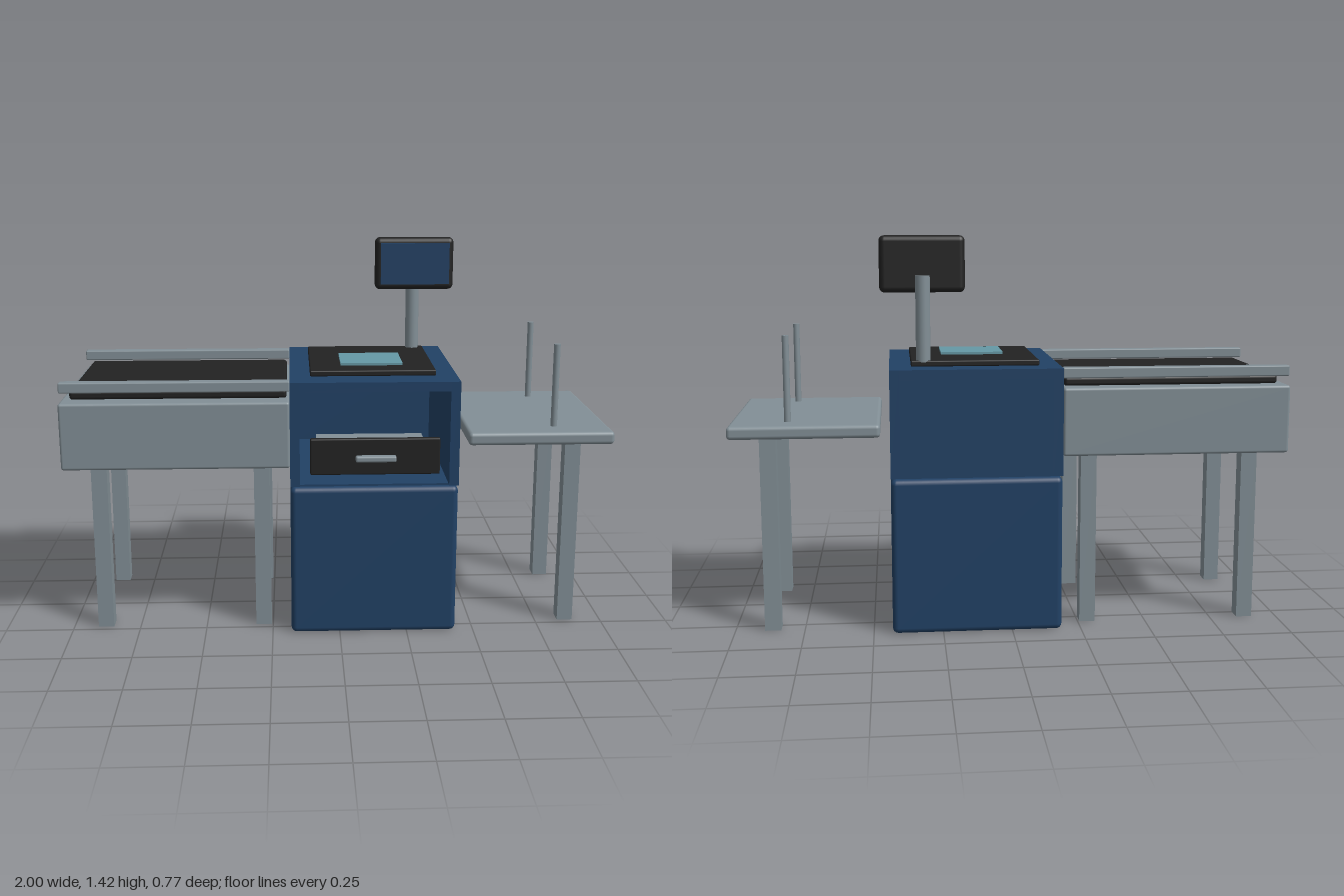
import * as THREE from 'three';
import { RoundedBoxGeometry } from 'three/addons/geometries/RoundedBoxGeometry.js';

const mat = (name, color) => {
  const m = new THREE.MeshStandardMaterial({ color });
  m.name = name;
  return m;
};

export function createModel() {
  const steel = mat('steel grey', 0x828f96);
  const navy = mat('navy blue', 0x214165);
  const black = mat('black', 0x222222);
  const glass = mat('glass teal', 0x6599a6);

  const model = new THREE.Group();
  model.name = 'checkoutCounter';
  const group = (name) => {
    const g = new THREE.Group();
    g.name = name;
    model.add(g);
    return g;
  };

  // Box given by its lower and upper limits; r rounds its edges
  const box = (parent, name, material, [x0, x1], [y0, y1], [z0, z1], r = 0) => {
    const w = x1 - x0, h = y1 - y0, d = z1 - z0;
    const geo = r ? new RoundedBoxGeometry(w, h, d, 3, r) : new THREE.BoxGeometry(w, h, d);
    const mesh = new THREE.Mesh(geo, material);
    mesh.name = name;
    mesh.position.set((x0 + x1) / 2, (y0 + y1) / 2, (z0 + z1) / 2);
    parent.add(mesh);
  };
  // Upright round rod
  const rod = (parent, name, x, z, y0, y1, r) => {
    const mesh = new THREE.Mesh(new THREE.CylinderGeometry(r, r, y1 - y0, 20), steel);
    mesh.name = name;
    mesh.position.set(x, (y0 + y1) / 2, z);
    parent.add(mesh);
  };
  // Front and back leg pair
  const legs = (parent, x, top) => {
    for (const z of [0.196, -0.276])
      box(parent, 'leg', steel, [x - 0.029, x + 0.029], [0, top], [z - 0.029, z + 0.029]);
  };
  const depth = [-0.388, 0.312];

  // Conveyor with belt, side rails and four legs
  const conveyor = group('conveyor');
  box(conveyor, 'conveyorBody', steel, [-1, -0.18], [0.64, 0.885], depth, 0.01);
  box(conveyor, 'belt', black, [-0.97, -0.19], [0.883, 0.917], [-0.325, 0.242], 0.012);
  for (const z of [0.265, -0.35])
    box(conveyor, 'sideRail', steel, [-1, -0.18], [0.917, 0.955], [z - 0.02, z + 0.02], 0.005);
  legs(conveyor, -0.88, 0.645);
  legs(conveyor, -0.285, 0.645);

  // Lower cabinet
  const cabinet = group('cabinet');
  box(cabinet, 'lowerCabinet', navy, [-0.18, 0.432], [0, 0.565], depth, 0.02);

  // Upper housing, open at the front
  box(cabinet, 'rightWall', navy, [-0.18, -0.145], [0.57, 0.955], depth);
  box(cabinet, 'leftWall', navy, [0.397, 0.432], [0.57, 0.955], depth);
  box(cabinet, 'backWall', navy, [-0.145, 0.397], [0.57, 0.92], [-0.388, -0.353]);
  box(cabinet, 'housingTop', navy, [-0.145, 0.397], [0.92, 0.955], depth);
  box(cabinet, 'housingFloor', navy, [-0.145, 0.397], [0.56, 0.572], [-0.353, 0.29]);

  // Cash drawer, partly pulled out
  const drawer = group('drawer');
  box(drawer, 'drawerTray', steel, [-0.08, 0.33], [0.63, 0.678], [-0.03, 0.322]);
  box(drawer, 'drawerFront', black, [-0.108, 0.358], [0.623, 0.756], [0.32, 0.343], 0.005);
  box(drawer, 'drawerHandle', steel, [0.053, 0.198], [0.68, 0.702], [0.358, 0.387], 0.007);

  // Scanner plate and glass
  const scanner = group('scanner');
  box(scanner, 'scannerPlate', black, [-0.105, 0.355], [0.955, 0.976], [-0.289, 0.204], 0.005);
  box(scanner, 'scannerGlass', glass, [0.01, 0.24], [0.976, 0.985], [-0.093, 0.11]);

  // Customer display on a pole
  const display = group('display');
  rod(display, 'displayPole', 0.31, -0.265, 0.97, 1.275, 0.026);
  box(display, 'displayCase', black, [0.158, 0.463], [1.215, 1.416], [-0.252, -0.194], 0.02);
  box(display, 'displayScreen', navy, [0.179, 0.445], [1.237, 1.396], [-0.193, -0.184]);

  // Bagging table with two outer legs and two bag posts
  const table = group('baggingTable');
  box(table, 'tableTop', steel, [0.466, 0.997], [0.717, 0.764], depth, 0.014);
  legs(table, 0.865, 0.72);
  for (const z of [0.21, -0.284]) rod(table, 'bagPost', 0.793, z, 0.76, 1.07, 0.012);

  return model;
}
